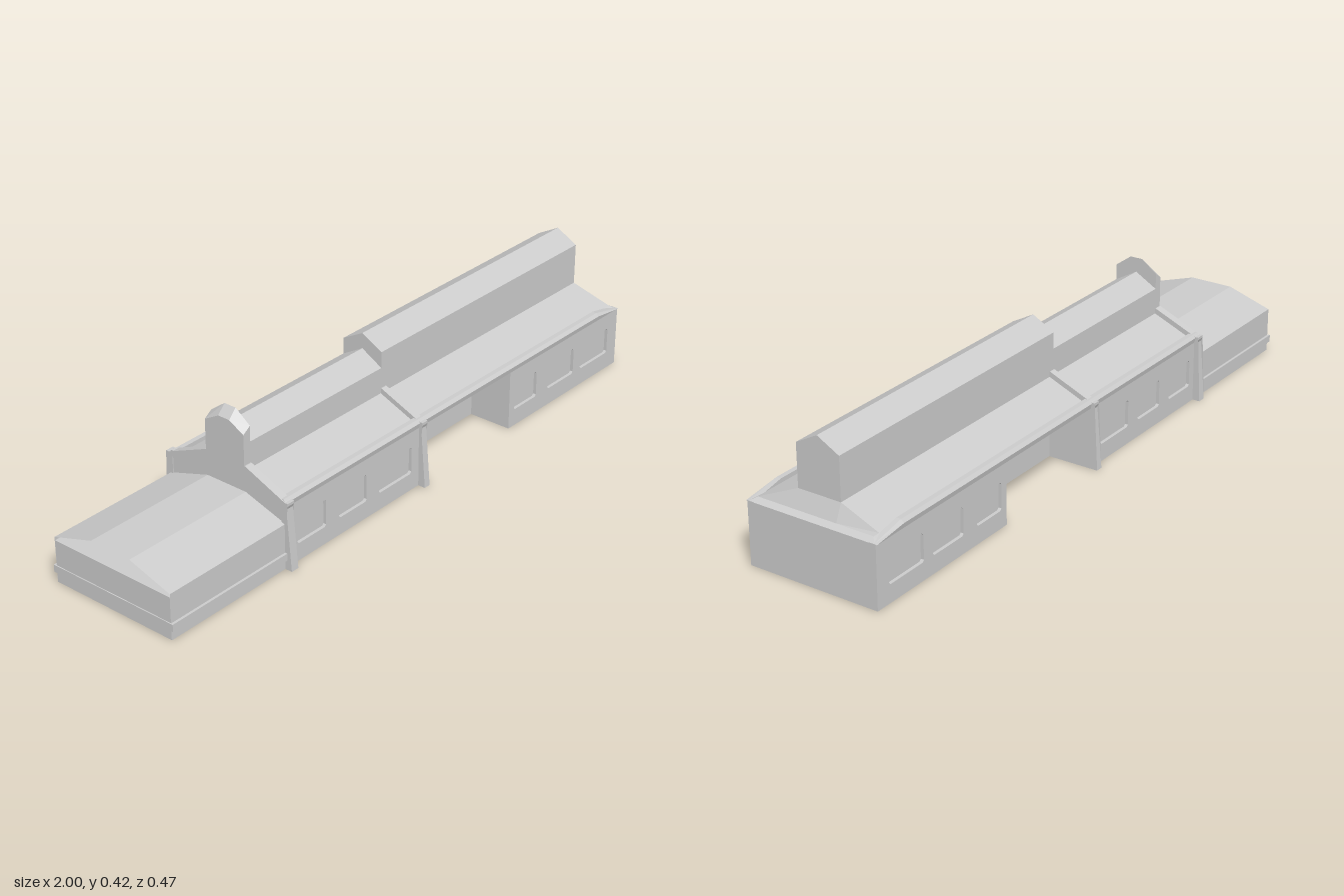
import * as THREE from 'three';

const mat = new THREE.MeshStandardMaterial({ color: 0xcccccc, flatShading: true, side: THREE.DoubleSide });

export function createModel() {
  const model = new THREE.Group();

  function add(name, geometry) {
    const mesh = new THREE.Mesh(geometry, mat);
    mesh.name = name;
    model.add(mesh);
    return mesh;
  }

  function box(name, x0, x1, y0, y1, z0, z1) {
    const g = new THREE.BoxGeometry(x1 - x0, y1 - y0, z1 - z0);
    return add(name, g.translate((x0 + x1) / 2, (y0 + y1) / 2, (z0 + z1) / 2));
  }

  // Solid through cross-sections [x, [[z, y], ...]], counter-clockwise seen from +x
  function loft(name, sections, capped = true) {
    const pos = [];
    const loops = sections.map(([x, p]) => p.map(([z, y]) => [x, y, z]));
    const tri = (a, b, c) => pos.push(...a, ...b, ...c);
    const n = loops[0].length;
    for (let s = 0; s + 1 < loops.length; s++) {
      for (let i = 0; i < n; i++) {
        const j = (i + 1) % n, A = loops[s], B = loops[s + 1];
        tri(A[i], A[j], B[j]);
        tri(A[i], B[j], B[i]);
      }
    }
    if (capped) {
      const first = loops[0], last = loops[loops.length - 1];
      for (let i = 1; i + 1 < n; i++) {
        tri(first[0], first[i + 1], first[i]);
        tri(last[0], last[i], last[i + 1]);
      }
    }
    const g = new THREE.BufferGeometry();
    g.setAttribute('position', new THREE.Float32BufferAttribute(pos, 3));
    g.computeVertexNormals();
    return add(name, g);
  }

  // Symmetric profile from its +z half, listed bottom to top
  const sym = half => [...half.map(([z, y]) => [-z, y]), ...[...half].reverse()];
  const prism = (name, x0, x1, p) => loft(name, [[x0, p], [x1, p]]);
  // One-sided profile (given for -z) placed on the chosen side
  const sided = (p, side) => side < 0 ? p : p.map(([z, y]) => [-z, y]).reverse();

  // Wall plate with chamfered window openings
  function windowWall(name, x0, x1, windows, side) {
    const wall = new THREE.Shape();
    wall.moveTo(x0, 0).lineTo(x1, 0).lineTo(x1, 0.19).lineTo(x0, 0.19).closePath();
    const c = 0.006, b = 0.054, t = 0.139;
    for (const [l, r] of windows) {
      const hole = new THREE.Path();
      hole.moveTo(l + c, b).lineTo(l, b + c).lineTo(l, t - c).lineTo(l + c, t)
        .lineTo(r - c, t).lineTo(r, t - c).lineTo(r, b + c).lineTo(r - c, b).closePath();
      wall.holes.push(hole);
    }
    const g = new THREE.ExtrudeGeometry(wall, { depth: 0.01, bevelEnabled: false });
    add(name, g.translate(0, 0, side > 0 ? 0.2 : -0.21));
  }

  const leftWindows = [[-0.512, -0.394], [-0.34, -0.222], [-0.169, -0.024]];
  const rightWindows = [[0.464, 0.576], [0.635, 0.769], [0.807, 0.952]];

  // Closed hall, and the end walls of the open-bottomed wing
  box('hallCore', -0.56, 0.03, 0, 0.19, -0.2, 0.2);
  box('wingEndWall', 0.99, 1, 0, 0.19, -0.21, 0.21);

  for (const side of [1, -1]) {
    const zBox = (name, x0, x1, y0, y1, a, b) =>
      box(name, x0, x1, y0, y1, side > 0 ? a : -b, side > 0 ? b : -a);

    windowWall('hallWall', -0.56, 0.03, leftWindows, side);
    windowWall('wingWall', 0.44, 1, rightWindows, side);
    for (const [l, r] of rightWindows)
      zBox('windowPane', l - 0.005, r + 0.005, 0.049, 0.144, 0.198, 0.2);

    // Recess between hall and wing
    zBox('recessReturnWall', 0.44, 0.445, 0, 0.19, 0.07, 0.2);
    zBox('recessBackWall', 0.03, 0.445, 0, 0.19, 0.065, 0.07);

    // Eaves cornice, tapering out toward the wing end
    const cornice = sided([[-0.19, 0.19], [-0.21, 0.188], [-0.214, 0.204], [-0.205, 0.213], [-0.19, 0.213]].reverse(), side).reverse();
    const low = cornice.map(([z, y]) => [z, 0.188 + (y - 0.188) * 0.12]);
    loft('cornice', [[-0.56, cornice], [0.89, cornice], [1, low]]);

    // Tapered buttresses with caps and raised ribs over the roof slope
    for (const [x0, x1] of [[-0.563, -0.537], [0.008, 0.03]]) {
      prism('buttress', x0, x1, sided(
        [[-0.2, 0], [-0.2, 0.207], [-0.223, 0.207], [-0.223, 0.199], [-0.218, 0.188], [-0.234, 0]].reverse(), side));
      prism('roofRib', x0, x1, sided(
        [[-0.069, 0.24], [-0.215, 0.19], [-0.215, 0.206], [-0.073, 0.266], [-0.069, 0.266]], side));
    }

    // Belt course along the vaulted annex
    zBox('annexBelt', -1, -0.56, 0.03, 0.052, 0.205, 0.219);
  }

  // Lower roof with a hipped wing end
  const slope = sym([[0.21, 0.188], [0.19, 0.2], [0.07, 0.25]]);
  loft('lowerRoof', [
    [-0.56, slope], [0.96, slope],
    [0.982, sym([[0.21, 0.188], [0.19, 0.2], [0.07, 0.2]])],
    [1, sym([[0.21, 0.188], [0.205, 0.19], [0.07, 0.19]])],
  ]);

  // Raised clerestory in two heights, with a sloped gable parapet
  const gable = (eave, ridge) => [[-0.07, 0.24], [-0.07, eave], [0, ridge], [0.07, eave], [0.07, 0.24]];
  prism('lowClerestory', -0.54, 0.01, gable(0.33, 0.37));
  prism('highClerestory', 0.01, 0.96, gable(0.38, 0.418));
  const crest = (eave, top) => sym([[0.07, 0.24], [0.07, eave], [0.02, top]]);
  loft('gableParapet', [[-0.563, crest(0.36, 0.388)], [-0.537, crest(0.378, 0.415)]]);

  // Vaulted annex with an open tympanum
  const vault = sym([[0.211, 0], [0.211, 0.14], [0.07, 0.185]]);
  loft('annexVault', [[-0.997, vault], [-0.56, vault]], false);
  box('annexDeck', -0.997, -0.56, 0.125, 0.13, -0.21, 0.21);
  box('annexEndWall', -0.997, -0.99, 0, 0.13, -0.21, 0.21);
  box('annexFloor', -0.997, -0.56, 0, 0.004, -0.21, 0.21);
  box('annexEndBelt', -1, -0.99, 0.03, 0.052, -0.219, 0.219);

  return model;
}
